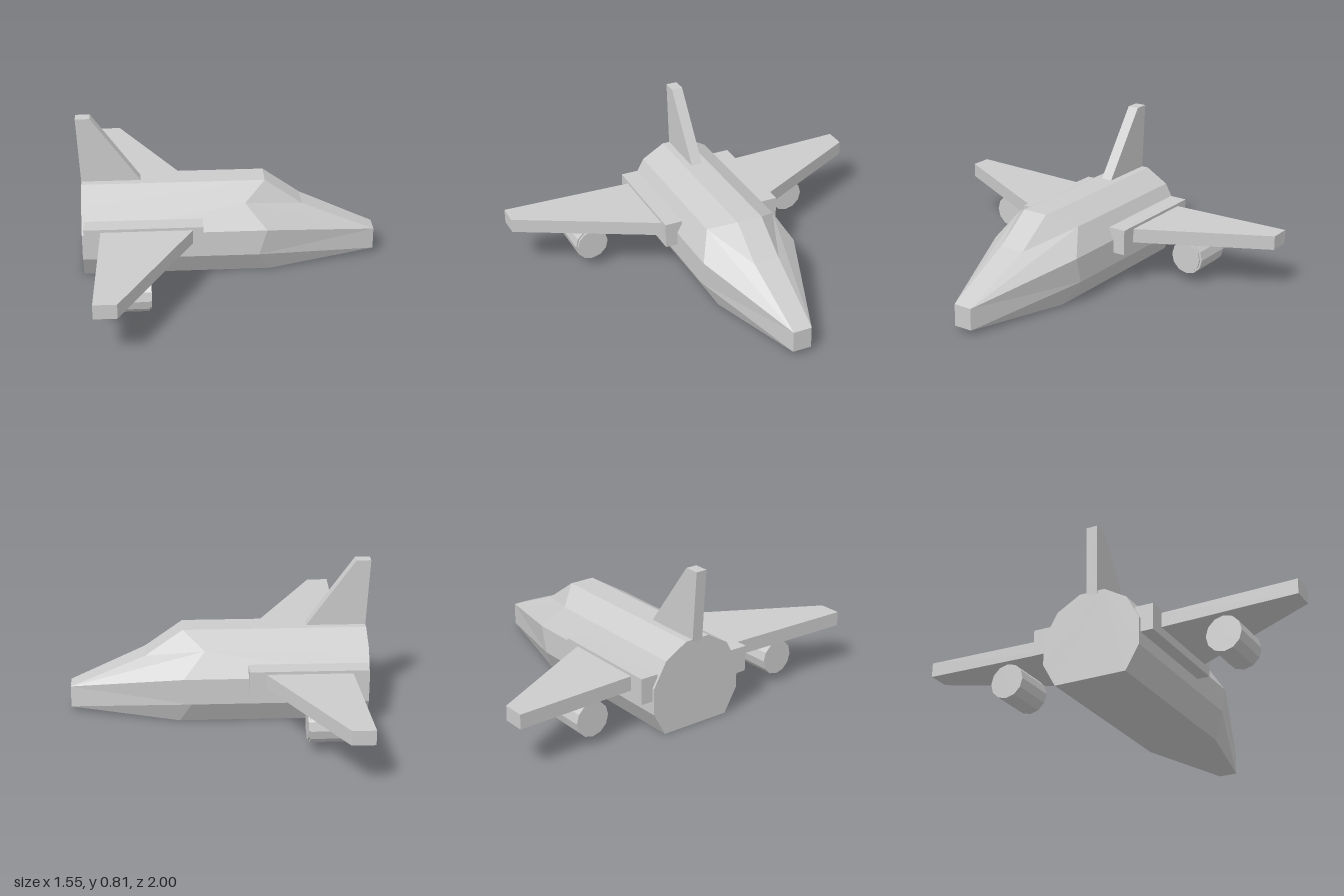
import * as THREE from 'three';

const CENTER_Z = -0.03;
const material = new THREE.MeshStandardMaterial({ color: 0xcccccc, flatShading: true });

function addMesh(parent, name, geometry, x = 0, y = 0, z = 0) {
  const mesh = new THREE.Mesh(geometry, material);
  mesh.name = name;
  mesh.position.set(x, y, z);
  parent.add(mesh);
  return mesh;
}

// Faceted hull lofted from half sections, each running top to bottom as [x, y, z]
function hullGeometry(halves) {
  const rings = halves.map(half => [
    ...half,
    ...half.slice().reverse().map(([x, y, z]) => [x, y, -z]),
  ]);
  const n = rings[0].length;
  const half = n / 2;
  const out = [];
  const tri = (a, b, c) => {
    const [A, B, C] = [a, b, c].map(p => new THREE.Vector3(...p));
    const area = B.clone().sub(A).cross(C.clone().sub(A)).length();
    if (area > 1e-6) out.push(...a, ...b, ...c);
  };
  for (let s = 0; s < rings.length - 1; s++) {
    for (let i = 0; i < n; i++) {
      const j = (i + 1) % n;
      const [a, b, c, d] = [rings[s][i], rings[s][j], rings[s + 1][j], rings[s + 1][i]];
      // mirror the diagonal on the far side
      if (i < half) { tri(a, b, d); tri(b, c, d); }
      else { tri(a, b, c); tri(a, c, d); }
    }
  }
  // end caps
  const first = rings[0], last = rings[rings.length - 1];
  for (let i = 1; i < n - 1; i++) {
    tri(first[0], first[i + 1], first[i]);
    tri(last[0], last[i], last[i + 1]);
  }
  const g = new THREE.BufferGeometry();
  g.setAttribute('position', new THREE.Float32BufferAttribute(out, 3));
  g.computeVertexNormals();
  return g;
}

// Flat plate from an outline
function plate(points, depth) {
  const shape = new THREE.Shape(points.map(p => new THREE.Vector2(...p)));
  return new THREE.ExtrudeGeometry(shape, { depth, bevelEnabled: false });
}

export function createModel() {
  const model = new THREE.Group();
  model.name = 'spaceplane';

  // Fuselage, windscreen and tapering nose
  const profile = [[0.455, 0.068], [0.385, 0.19], [0.26, 0.26], [0.122, 0.26], [0, 0.19]];
  const shoulderX = [0.19, 0.08, 0.19, 0.15, 0.21];
  const tipTop = [0.775, 0.14, 0.05];
  const tipBottom = [0.775, 0.025, 0.05];
  const windscreen = [0.385, 0.315, 0.068];
  addMesh(model, 'fuselage', hullGeometry([
    profile.map(([y, z]) => [-0.757, y, z]),
    profile.map(([y, z], i) => [shoulderX[i], y, z]),
    [windscreen, tipTop, tipTop, tipBottom, tipBottom],
    [tipTop, tipTop, tipTop, tipBottom, tipBottom],
  ]), 0, 0, CENTER_Z);

  // Tail fin
  addMesh(model, 'tailFin',
    plate([[-0.757, 0.44], [-0.44, 0.44], [-0.70, 0.805], [-0.775, 0.805]], 0.06),
    0, 0, CENTER_Z - 0.03);

  for (const side of [1, -1]) {
    const label = side > 0 ? 'left' : 'right';

    // Wing root block on the fuselage side
    addMesh(model, label + 'WingMount', new THREE.BoxGeometry(0.605, 0.135, 0.095),
      -0.4425, 0.2575, CENTER_Z + side * 0.279);

    // Swept wing, outline in x and z
    const outline = [[-0.659, 0.27], [-0.179, 0.27], [-0.57, 1], [-0.685, 1]];
    const wing = plate(outline.map(([x, z]) => [x, side * z]), 0.075);
    wing.rotateX(Math.PI / 2);
    addMesh(model, label + 'Wing', wing, 0, 0.31, 0);

    // Engine pod slung under the wing, with a smaller front face
    const engine = new THREE.Group();
    engine.name = label + 'Engine';
    engine.position.set(-0.5325, 0.14, 0.02 + side * 0.59);
    const pod = new THREE.CylinderGeometry(0.091, 0.091, 0.225, 12).rotateZ(-Math.PI / 2);
    addMesh(engine, 'enginePod', pod);
    const face = new THREE.CylinderGeometry(0.081, 0.081, 0.03, 12).rotateZ(-Math.PI / 2);
    addMesh(engine, 'engineFace', face, 0.1075);
    model.add(engine);
  }
  return model;
}
